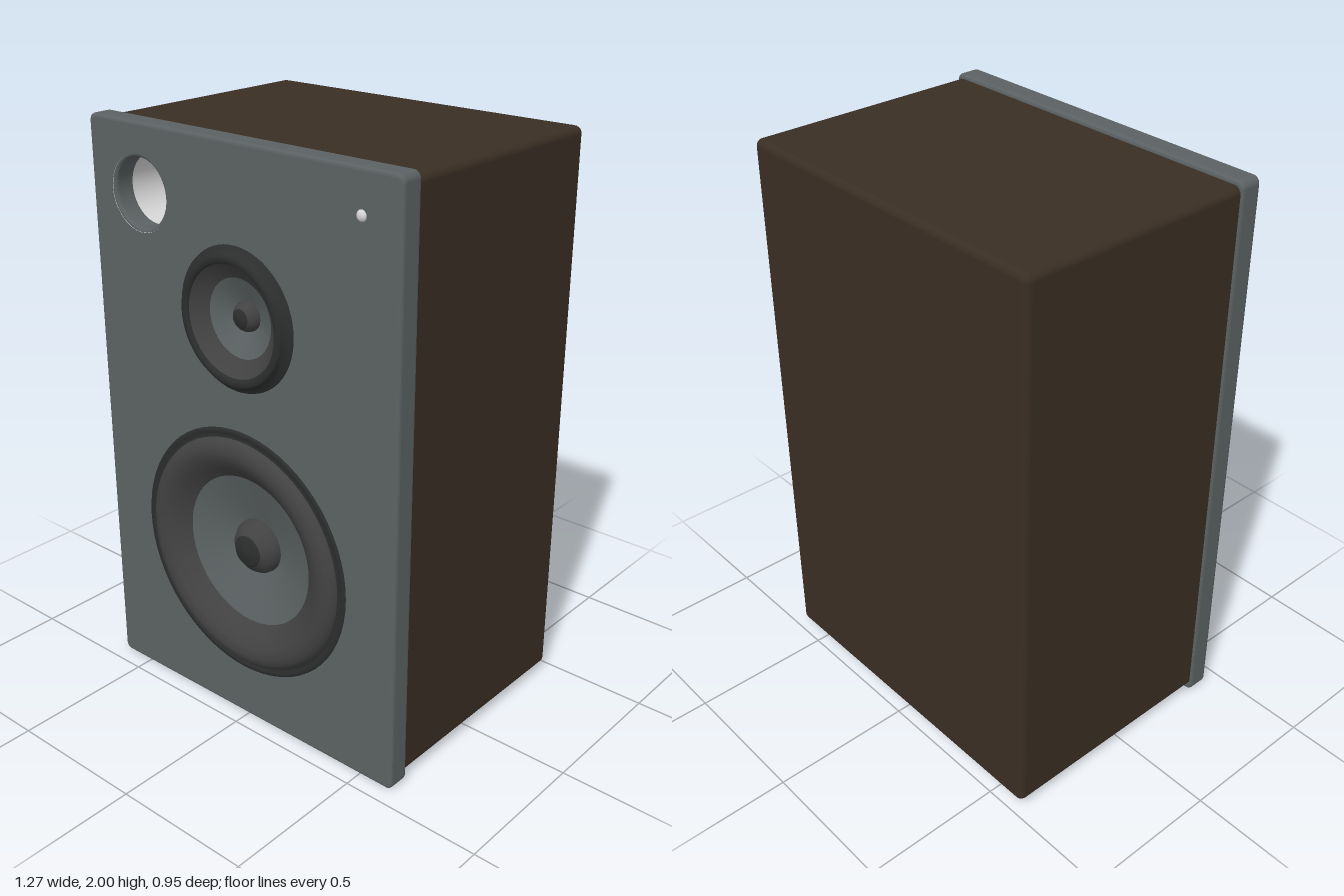
import * as THREE from 'three';
import { RoundedBoxGeometry } from 'three/addons/geometries/RoundedBoxGeometry.js';

const mat = (name, color) => new THREE.MeshStandardMaterial({ name, color });

export function createModel() {
  const wood = mat('darkWood', 0x3a2e23);
  const grey = mat('panelGrey', 0x5b6162);
  const rubber = mat('rubber', 0x424242);
  const black = mat('rimBlack', 0x2c2d2d);
  const silver = mat('silver', 0xd6d6d6);

  const group = new THREE.Group();
  group.name = 'bookshelfSpeaker';

  const add = (name, geometry, material, x = 0, y = 0, z = 0, parent = group) => {
    const mesh = new THREE.Mesh(geometry, material);
    mesh.name = name;
    mesh.position.set(x, y, z);
    parent.add(mesh);
    return mesh;
  };
  // Revolved profile of [radius, z] pairs, outer to inner, facing +z
  const turn = (points, segments = 64) => new THREE.LatheGeometry(
    points.map(([r, z]) => new THREE.Vector2(r, z)), segments).rotateX(Math.PI / 2);

  // Cabinet, left open at the front behind the panel so the drivers can sink in
  const box = new RoundedBoxGeometry(1.25, 1.96, 0.875, 4, 0.025);
  box.groups = box.groups.filter((g) => g.materialIndex !== 4);
  add('cabinet', box, Array(6).fill(wood), 0, 1.005, -0.0375);
  add('bottomPlate', new THREE.BoxGeometry(1.21, 0.006, 0.81), grey, 0, 0.024, -0.045);

  // Front panel with driver and port openings
  const W = 0.633, R = 0.025, B = 0.012;
  const face = new THREE.Shape();
  face.moveTo(-W + R, 0);
  face.lineTo(W - R, 0);
  face.absarc(W - R, R, R, -Math.PI / 2, 0);
  face.absarc(W - R, 2 - R, R, 0, Math.PI / 2);
  face.absarc(-W + R, 2 - R, R, Math.PI / 2, Math.PI);
  face.absarc(-W + R, R, R, Math.PI, Math.PI * 1.5);
  const openings = [[0, 0.635, 0.43], [0, 1.45, 0.225], [-0.41, 1.775, 0.125]];
  for (const [x, y, r] of openings) {
    const hole = new THREE.Path();
    hole.absarc(x, y, r - B, 0, Math.PI * 2, true);
    face.holes.push(hole);
  }
  add('frontPanel', new THREE.ExtrudeGeometry(face, {
    depth: 0.08 - 2 * B, bevelEnabled: true, bevelThickness: B, bevelSize: B,
    bevelOffset: -B, bevelSegments: 3, curveSegments: 32,
  }), grey, 0, 0, 0.36 + B);

  // Drivers: rim, surround, cone and centre plug
  const driver = (name, y, { rim, surround, cone, plug }) => {
    const d = new THREE.Group();
    d.name = name;
    d.position.y = y;
    group.add(d);
    add(name + 'Rim', turn(rim), black, 0, 0, 0, d);
    add(name + 'Surround', turn(surround), rubber, 0, 0, 0, d);
    add(name + 'Cone', turn(cone), grey, 0, 0, 0, d);
    add(name + 'Plug', turn(plug.slice(0, 4), 40), rubber, 0, 0, 0, d);
    add(name + 'PlugTip', turn(plug.slice(3), 40), black, 0, 0, 0, d);
  };
  driver('woofer', 0.635, {
    rim: [[0.442, 0.438], [0.438, 0.446], [0.425, 0.446], [0.418, 0.44], [0.408, 0.444]],
    surround: [[0.41, 0.44], [0.405, 0.455], [0.39, 0.468], [0.365, 0.475],
      [0.335, 0.468], [0.3, 0.445], [0.265, 0.415]],
    cone: [[0.265, 0.415], [0.09, 0.36]],
    plug: [[0.096, 0.355], [0.093, 0.38], [0.08, 0.4], [0.056, 0.42], [0.045, 0.43], [0, 0.436]],
  });
  driver('tweeter', 1.45, {
    rim: [[0.236, 0.438], [0.233, 0.447], [0.217, 0.45], [0.212, 0.468],
      [0.205, 0.475], [0.188, 0.475], [0.182, 0.465]],
    surround: [[0.185, 0.467], [0.165, 0.448], [0.13, 0.425]],
    cone: [[0.13, 0.425], [0.045, 0.385]],
    plug: [[0.051, 0.38], [0.049, 0.4], [0.042, 0.413], [0.031, 0.424], [0.024, 0.43], [0, 0.434]],
  });

  // Bass port tube with its closed end
  add('portTube', turn([[0.126, 0.441], [0.118, 0.425], [0.114, 0.4], [0.112, 0.1]]),
    silver, -0.41, 1.775, 0);
  add('portEnd', new THREE.CircleGeometry(0.113, 48), silver, -0.41, 1.775, 0.1);

  // Indicator light
  add('indicatorLight', new THREE.SphereGeometry(0.018, 20, 12).scale(1, 1, 0.7),
    silver, 0.49, 1.865, 0.438);

  // Rear feet
  for (const side of [-1, 1]) {
    add(side > 0 ? 'leftFoot' : 'rightFoot',
      new THREE.CylinderGeometry(0.05, 0.05, 0.025, 32), silver, side * 0.54, 0.0125, -0.385);
  }
  return group;
}
